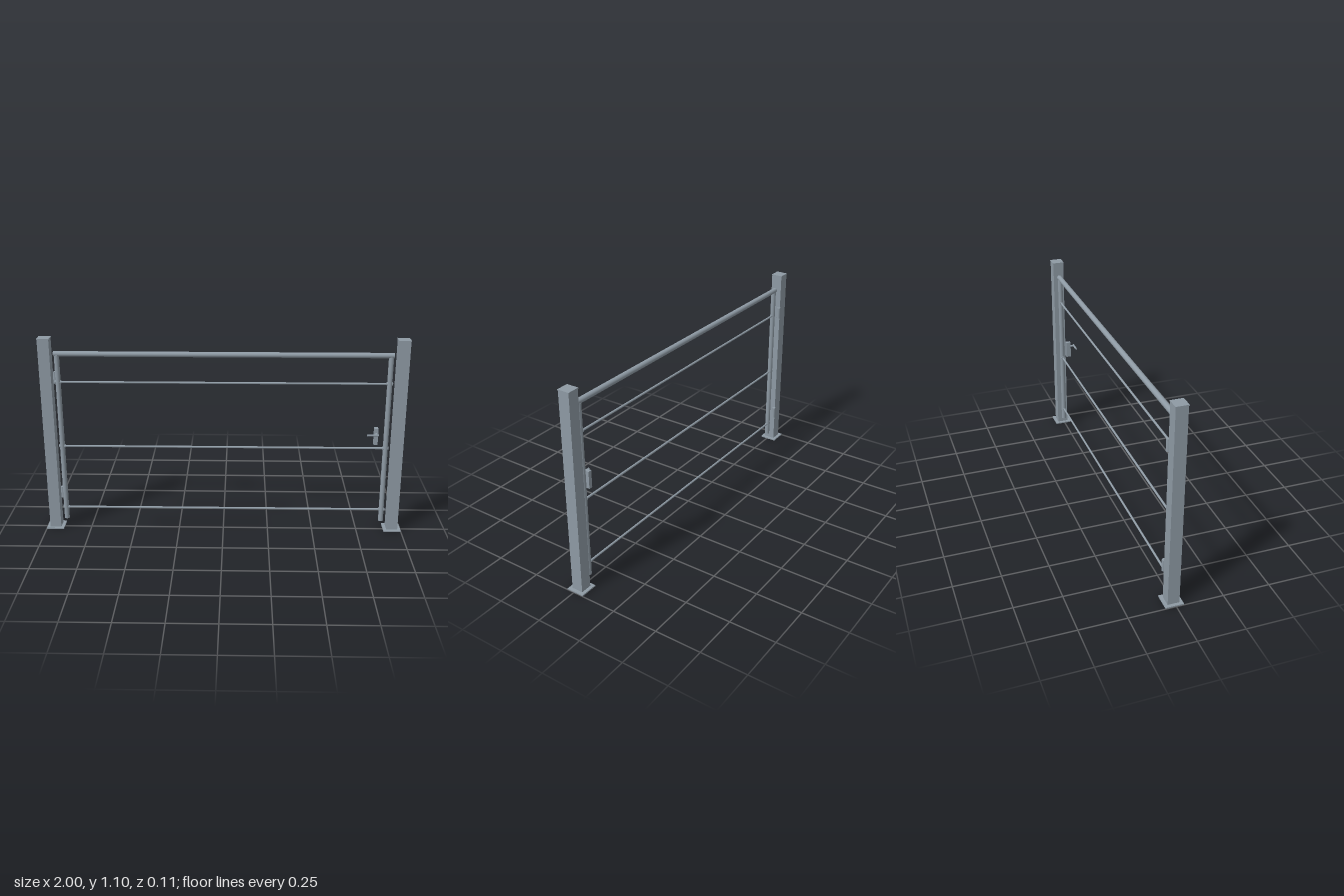
import * as THREE from 'three';

const steel = new THREE.MeshStandardMaterial({ color: 0x8e9aa4 });
steel.name = 'galvanised steel';

const Z = -0.008; // depth of the gate's centre plane

export function createModel() {
  const gate = new THREE.Group();
  gate.name = 'gate';

  const add = (name, geometry, x, y, z) => {
    const mesh = new THREE.Mesh(geometry, steel);
    mesh.name = name;
    mesh.position.set(x, y, z);
    gate.add(mesh);
    return mesh;
  };
  const box = (name, w, h, d, x, y, z) => add(name, new THREE.BoxGeometry(w, h, d), x, y, z);
  // round bar centred on a point, running along the given axis
  const rod = (name, axis, r, length, x, y, z, sides = 24) => {
    const g = new THREE.CylinderGeometry(r, r, length, sides);
    if (axis === 'x') g.rotateZ(Math.PI / 2);
    if (axis === 'z') g.rotateX(Math.PI / 2);
    return add(name, g, x, y, z);
  };

  const barHeights = [0.118, 0.487, 0.856];

  for (const side of [-1, 1]) {
    // square post with base plate and cap
    const px = side * 0.951;
    box('basePlate', 0.097, 0.007, 0.097, px, 0.0035, Z);
    box('post', 0.062, 1.088, 0.062, px, 0.551, Z);
    box('postCap', 0.066, 0.006, 0.066, px, 1.098, Z);

    // round upright of the swinging frame
    const ux = side * 0.889;
    rod('upright', 'y', 0.0138, 0.955, ux, 0.5275, Z);

    // bar fittings through the upright
    for (const y of barHeights) rod('barFitting', 'x', 0.0095, 0.034, ux, y, Z, 16);
  }

  // top handrail and thin horizontal bars
  rod('topRail', 'x', 0.0145, 1.81, 0, 1.0125, Z, 32);
  for (const y of barHeights) rod('bar', 'x', 0.0058, 1.78, 0, y, Z, 16);

  // hinge barrels at the back of the hinge post
  for (const y of [0.198, 0.872]) rod('hinge', 'y', 0.01, 0.065, -0.911, y, -0.037, 16);

  // latch with spindle and lever
  box('latchBody', 0.021, 0.095, 0.028, 0.829, 0.566, 0.014);
  rod('latchSpindle', 'z', 0.006, 0.028, 0.829, 0.584, 0.04, 16);
  rod('latchLever', 'x', 0.006, 0.062, 0.808, 0.584, 0.051, 16);

  return gate;
}
